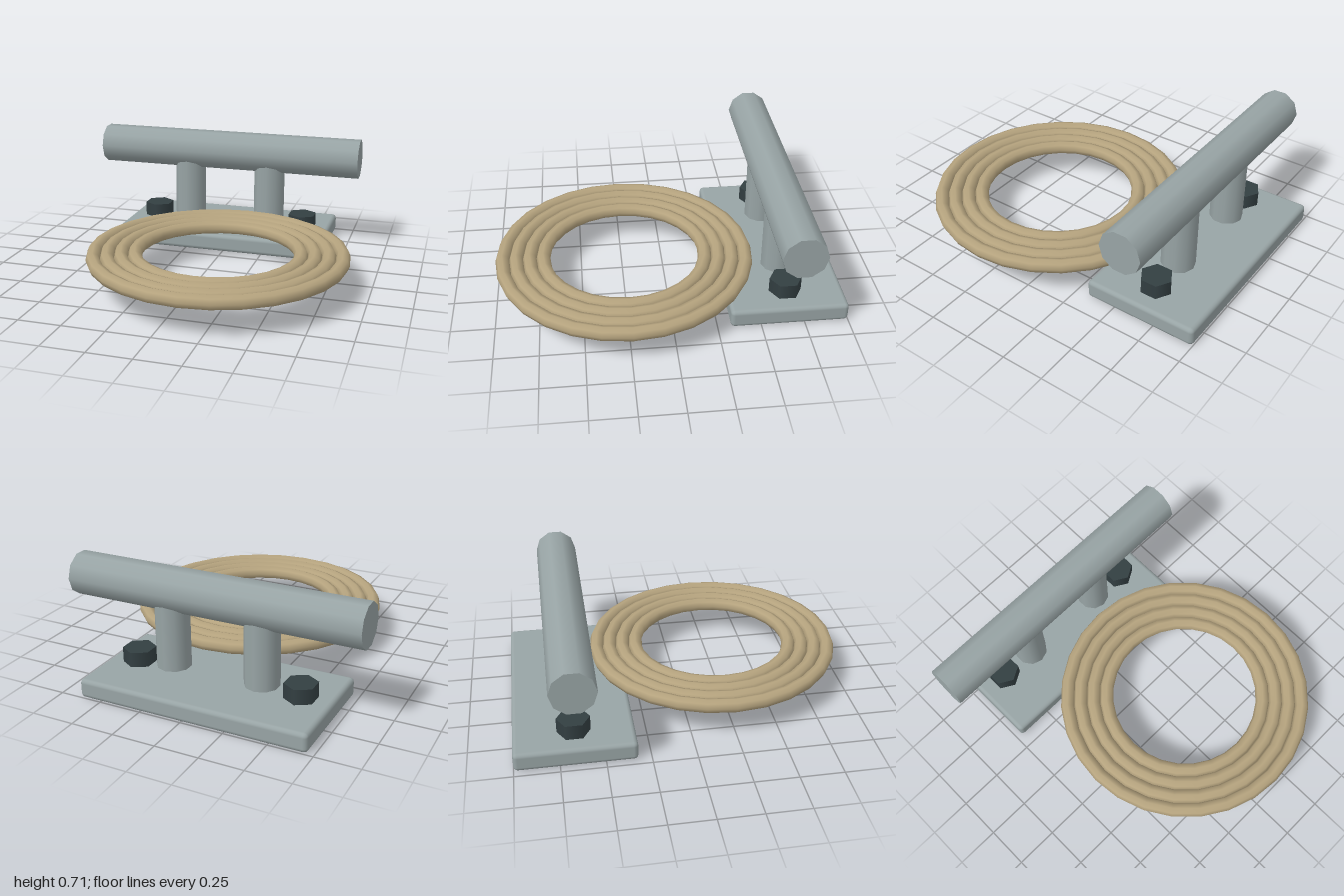
import * as THREE from 'three';
import { RoundedBoxGeometry } from 'three/addons/geometries/RoundedBoxGeometry.js';

export function createModel() {
  const model = new THREE.Group();
  const steel = new THREE.MeshStandardMaterial({ color: 0x98a4a5 });
  const darkSteel = new THREE.MeshStandardMaterial({ color: 0x333f42 });
  const hemp = new THREE.MeshStandardMaterial({ color: 0xb5a37e });

  const add = (parent, name, geometry, material, x, y, z) => {
    const mesh = new THREE.Mesh(geometry, material);
    mesh.name = name;
    mesh.position.set(x, y, z);
    parent.add(mesh);
    return mesh;
  };

  // Mooring cleat: base plate, horn bar, two posts and two hex bolts
  const cleat = new THREE.Group();
  cleat.name = 'cleat';
  cleat.position.set(-0.043, 0, -0.662);
  model.add(cleat);

  add(cleat, 'basePlate', new RoundedBoxGeometry(1.345, 0.11, 0.676, 2, 0.025), steel, 0, 0.055, 0);

  const bar = new THREE.CylinderGeometry(0.124, 0.124, 1.707, 10).rotateZ(Math.PI / 2);
  add(cleat, 'hornBar', bar, steel, 0, 0.59, 0);

  const post = new THREE.CylinderGeometry(0.099, 0.099, 0.42, 10);
  const bolt = new THREE.CylinderGeometry(0.094, 0.094, 0.095, 6);
  for (const [side, s] of [['left', 1], ['right', -1]]) {
    add(cleat, side + 'Post', post, steel, s * 0.27, 0.347, 0);
    add(cleat, side + 'Bolt', bolt, darkSteel, s * 0.495, 0.15, 0);
  }

  // Flat coil of rope: four concentric turns
  const coil = new THREE.Group();
  coil.name = 'ropeCoil';
  coil.position.set(0.137, 0.204, 0.242);
  model.add(coil);
  for (let i = 0; i < 4; i++) {
    const turn = new THREE.TorusGeometry(0.476 + i * 0.0795, 0.041, 8, 28).rotateX(Math.PI / 2);
    add(coil, 'ropeTurn' + (i + 1), turn, hemp, 0, 0, 0);
  }

  return model;
}
